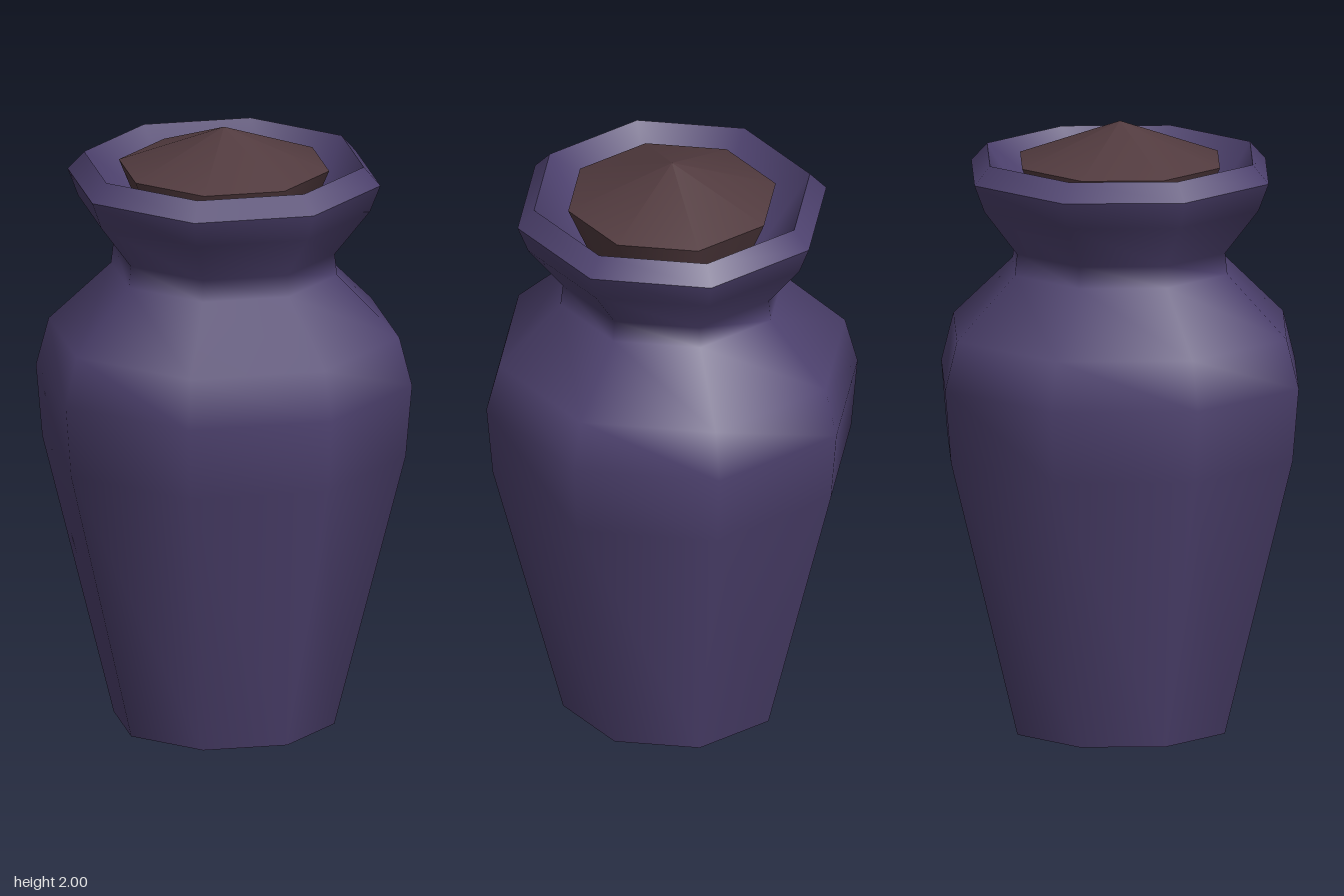
import * as THREE from 'three';

const SIDES = 8;

export function createModel() {
  const glaze = new THREE.MeshStandardMaterial({ color: 0x4d416e });
  glaze.name = 'purpleGlaze';
  const cork = new THREE.MeshStandardMaterial({ color: 0x523b3f });
  cork.name = 'brownCork';

  const group = new THREE.Group();
  group.name = 'stopperedUrn';

  // Each profile is [radius, height] pairs; separate turns keep the edges between them sharp.
  const turn = (name, material, profile) => {
    const points = profile.map(([r, y]) => new THREE.Vector2(r, y));
    const mesh = new THREE.Mesh(new THREE.LatheGeometry(points, SIDES), material);
    mesh.name = name;
    group.add(mesh);
  };

  // Urn
  turn('base', glaze, [[0, 0], [0.363, 0]]);
  turn('body', glaze, [
    [0.363, 0], [0.598, 0.92], [0.619, 1.16], [0.577, 1.32],
    [0.372, 1.52], [0.364, 1.59], [0.48, 1.74], [0.515, 1.83],
  ]);
  turn('rim', glaze, [[0.515, 1.83], [0.46, 1.89]]);
  turn('mouth', glaze, [[0.46, 1.89], [0.28, 1.62], [0, 1.62]]);

  // Tapered stopper with a shallow pointed top
  turn('stopperSide', cork, [[0.24, 1.62], [0.346, 1.87]]);
  turn('stopperTop', cork, [[0.346, 1.87], [0, 2]]);

  return group;
}
